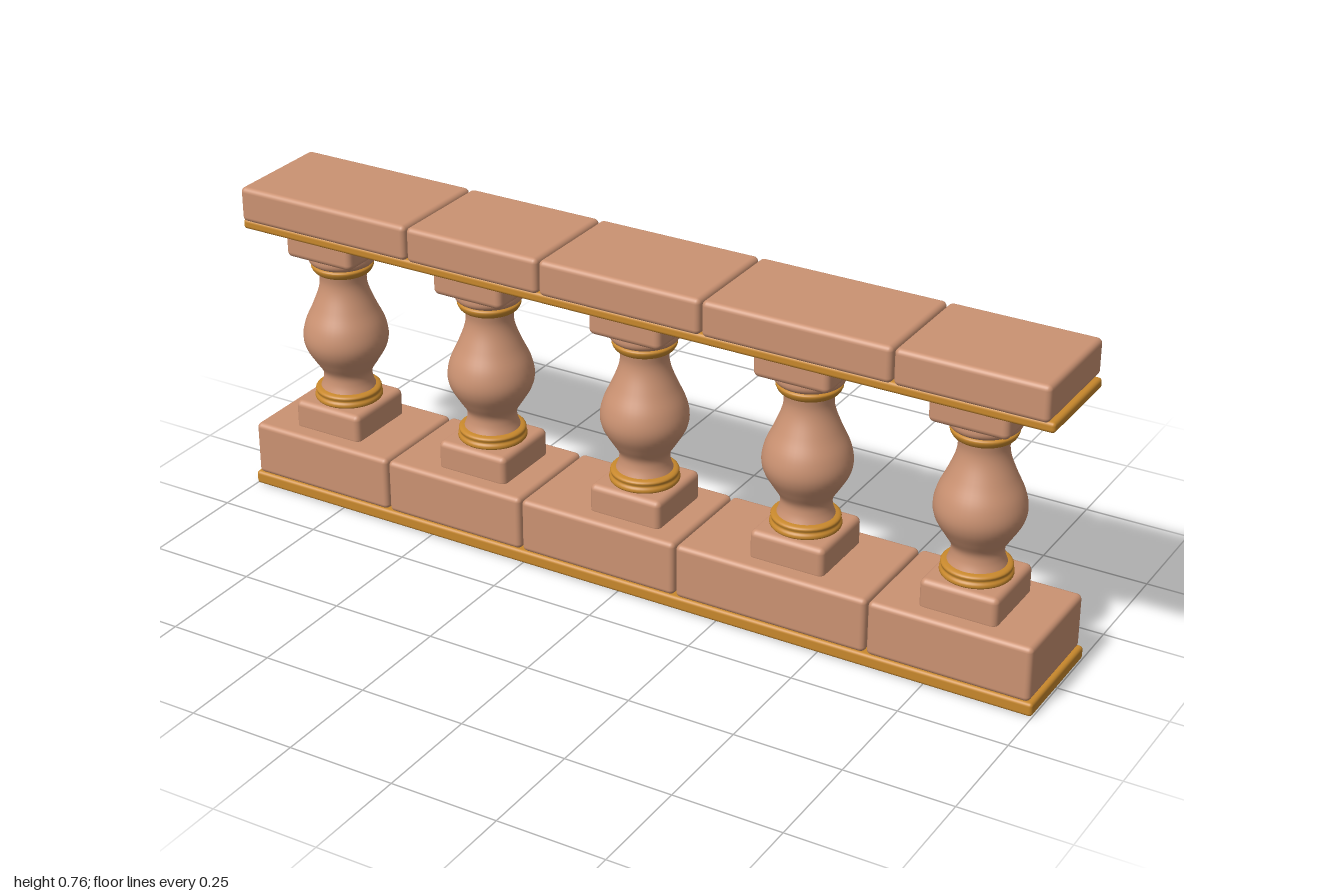
import * as THREE from 'three';
import { RoundedBoxGeometry } from 'three/addons/geometries/RoundedBoxGeometry.js';

const stone = new THREE.MeshStandardMaterial({ color: 0xcb9272 });
stone.name = 'terracotta stone';
const gold = new THREE.MeshStandardMaterial({ color: 0xc8882c });
gold.name = 'ochre trim';

// Rounded block given by its extents, centred on z = 0
function block(name, x0, x1, y0, y1, halfDepth, radius, material) {
  const geo = new RoundedBoxGeometry(x1 - x0, y1 - y0, halfDepth * 2, 3, radius);
  const mesh = new THREE.Mesh(geo, material);
  mesh.position.set((x0 + x1) / 2, (y0 + y1) / 2, 0);
  mesh.name = name;
  return mesh;
}

// Turned part from [radius, height] pairs, smoothed by a spline
function turned(name, profile, material, steps) {
  const curve = new THREE.SplineCurve(profile.map(([r, y]) => new THREE.Vector2(r, y)));
  const mesh = new THREE.Mesh(new THREE.LatheGeometry(curve.getPoints(steps), 40), material);
  mesh.name = name;
  return mesh;
}

function createBaluster() {
  const g = new THREE.Group();
  g.name = 'baluster';
  g.add(block('plinth', -0.09, 0.09, 0.15, 0.226, 0.092, 0.014, stone));
  g.add(turned('lowerRing', [[0.06, 0.222], [0.077, 0.226], [0.079, 0.234], [0.075, 0.241],
    [0.077, 0.249], [0.07, 0.254], [0.05, 0.256]], gold, 24));
  g.add(turned('body', [[0.066, 0.25], [0.058, 0.272], [0.058, 0.295], [0.074, 0.322],
    [0.093, 0.355], [0.099, 0.385], [0.092, 0.42], [0.074, 0.46], [0.059, 0.498],
    [0.054, 0.525], [0.057, 0.55]], stone, 48));
  g.add(turned('upperRing', [[0.05, 0.545], [0.063, 0.548], [0.07, 0.556], [0.072, 0.566],
    [0.06, 0.572]], gold, 20));
  g.add(turned('neckMoulding', [[0.062, 0.566], [0.074, 0.573], [0.079, 0.583],
    [0.078, 0.598]], stone, 16));
  g.add(block('capital', -0.09, 0.09, 0.593, 0.66, 0.092, 0.014, stone));
  return g;
}

export function createModel() {
  const model = new THREE.Group();
  model.name = 'balustrade';

  // Trim bands, each with a stone underside
  model.add(block('baseTrim', -1, 1, 0.001, 0.033, 0.136, 0.008, gold));
  model.add(block('baseUnderside', -0.992, 0.992, 0, 0.008, 0.128, 0.001, stone));
  model.add(block('railTrim', -1, 1, 0.653, 0.677, 0.121, 0.008, gold));
  model.add(block('railUnderside', -0.992, 0.992, 0.652, 0.66, 0.113, 0.001, stone));

  // Courses of unequal stones with fine joints
  const course = (name, joints, y0, y1) => {
    for (let i = 0; i < joints.length - 1; i++) {
      model.add(block(name, joints[i] + 0.002, joints[i + 1] - 0.002, y0, y1, 0.133, 0.012, stone));
    }
  };
  course('baseStone', [-0.995, -0.618, -0.254, 0.145, 0.612, 0.993], 0.031, 0.161);
  course('railStone', [-0.995, -0.541, -0.197, 0.204, 0.648, 0.993], 0.677, 0.76);

  // Row of balusters
  for (let i = -2; i <= 2; i++) {
    const b = createBaluster();
    b.position.x = -0.007 + i * 0.404;
    model.add(b);
  }
  return model;
}
